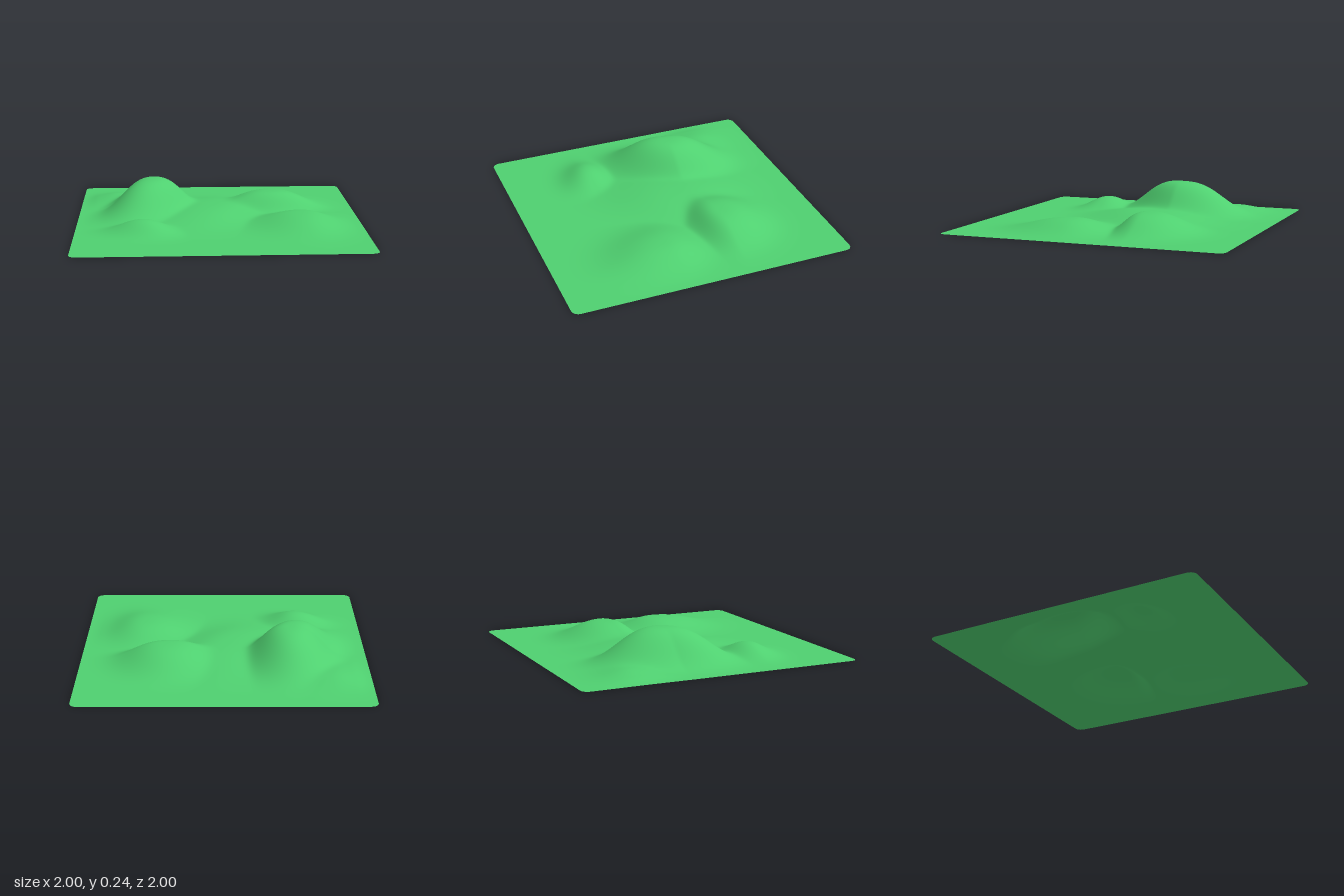
import * as THREE from 'three';

// Each hill: peak position and height, its reach on four sides, the steepness
// of its flanks, and how far it leans sideways towards the front.
const hills = [
  { x: -0.46, z: -0.22, h: 0.243, left: 0.26, right: 0.26, back: 0.38, front: 0.36, power: 2.8, lean: -0.3 }, // main hill
  { x: 0.40, z: -0.26, h: 0.132, left: 0.32, right: 0.30, back: 0.31, front: 0.17, power: 2.8, lean: -0.3 }, // second hill
  { x: 0.58, z: 0.22, h: 0.09, left: 0.30, right: 0.23, back: 0.25, front: 0.36, power: 2.5, lean: 0.05 }, // front right rise
  { x: -0.53, z: 0.40, h: 0.091, left: 0.21, right: 0.19, back: 0.16, front: 0.16, power: 2.2, lean: 0.2 }, // front left knoll
  { x: -0.02, z: -0.12, h: 0.074, left: 0.40, right: 0.32, back: 0.42, front: 0.44, power: 2.6, lean: -0.25 }, // saddle
  { x: -0.73, z: -0.58, h: 0.05, left: 0.19, right: 0.28, back: 0.19, front: 0.26, power: 2.0, lean: 0 }, // back shoulder
];

function hillHeight(k, x, z) {
  const dz = z - k.z;
  const dx = x - k.x - (dz > 0 ? k.lean * dz : 0);
  const u = dx / (dx < 0 ? k.left : k.right);
  const v = dz / (dz < 0 ? k.back : k.front);
  return k.h * Math.exp(-Math.pow(Math.hypot(u, v), k.power));
}

// Hills blend as a smooth maximum and fade out at the border
function groundHeight(x, z) {
  const sum = hills.reduce((s, k) => s + Math.pow(hillHeight(k, x, z), 4), 0);
  const border = 1 - Math.max(Math.abs(x), Math.abs(z));
  return Math.pow(sum, 0.25) * THREE.MathUtils.smoothstep(border, -0.04, 0.12);
}

export function createModel() {
  const group = new THREE.Group();
  group.name = 'hillyGround';

  const geometry = new THREE.PlaneGeometry(2, 2, 120, 120);
  geometry.rotateX(-Math.PI / 2);
  const pos = geometry.attributes.position;
  const radius = 0.05;
  const inner = 1 - radius;
  for (let i = 0; i < pos.count; i++) {
    let x = pos.getX(i);
    let z = pos.getZ(i);
    // Round the corners: map each corner square onto a quarter disc
    const qx = Math.abs(x) - inner;
    const qz = Math.abs(z) - inner;
    if (qx > 0 && qz > 0) {
      const s = Math.max(qx, qz) / Math.hypot(qx, qz);
      x = Math.sign(x) * (inner + qx * s);
      z = Math.sign(z) * (inner + qz * s);
    }
    pos.setXYZ(i, x, groundHeight(x, z), z);
  }
  geometry.computeVertexNormals();

  const grass = new THREE.MeshStandardMaterial({ color: 0x4fd070, side: THREE.DoubleSide });
  const ground = new THREE.Mesh(geometry, grass);
  ground.name = 'ground';
  group.add(ground);
  return group;
}
